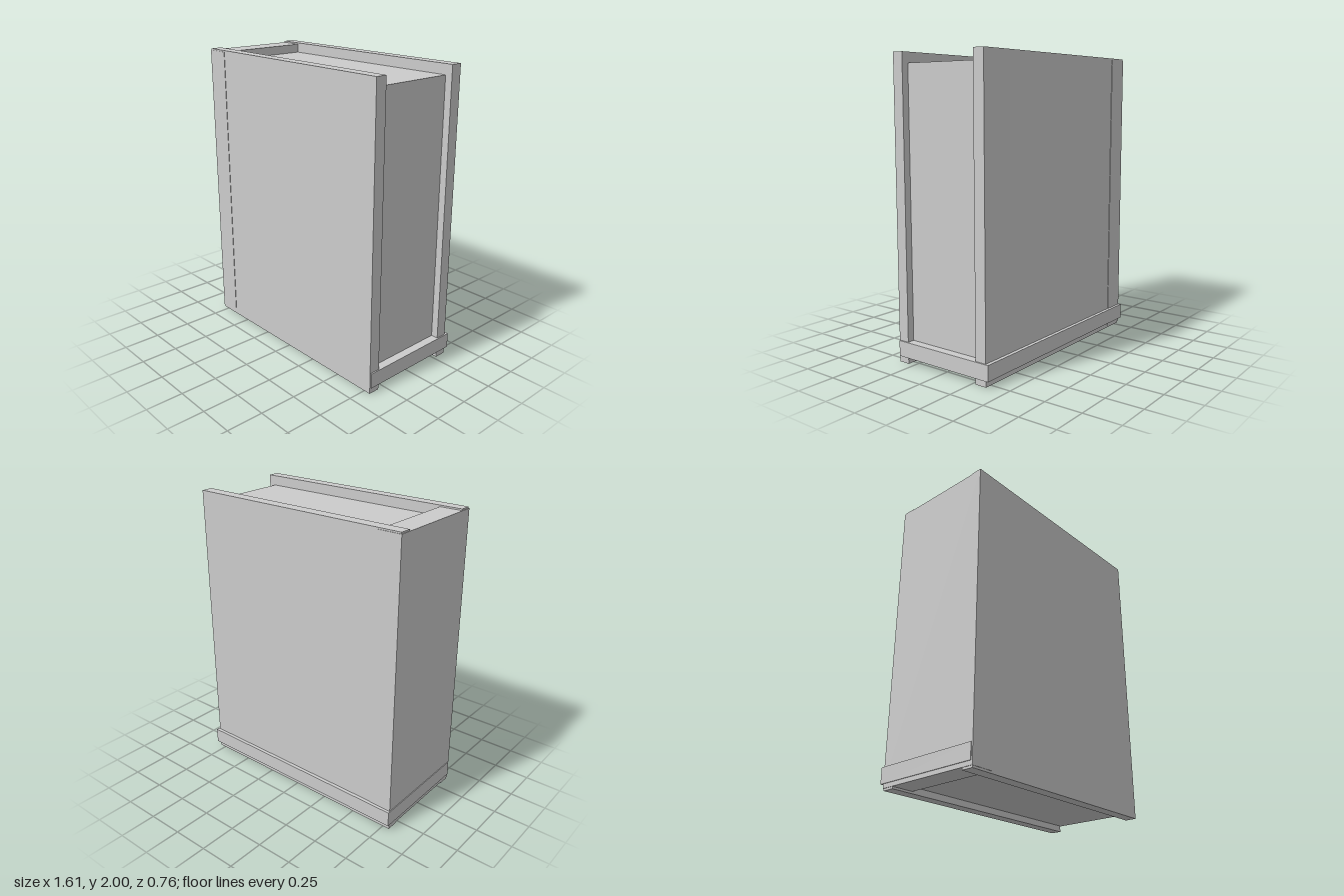
import * as THREE from 'three';

export function createModel() {
  const model = new THREE.Group();
  model.name = 'book';
  const grey = new THREE.MeshStandardMaterial({ color: 0xcccccc });
  grey.name = 'plain grey';

  // Box given by its minimum and maximum along each axis
  const addBox = (name, [x0, x1], [y0, y1], [z0, z1]) => {
    const mesh = new THREE.Mesh(new THREE.BoxGeometry(x1 - x0, y1 - y0, z1 - z0), grey);
    mesh.position.set((x0 + x1) / 2, (y0 + y1) / 2, (z0 + z1) / 2);
    mesh.name = name;
    model.add(mesh);
  };

  // Boards on both faces
  addBox('frontCover', [-0.798, 0.798], [0, 2], [0.297, 0.375]);
  addBox('backCover', [-0.798, 0.798], [0, 2], [-0.354, -0.275]);

  // Spine, slightly proud of the boards and a little shorter
  addBox('spine', [-0.802, -0.643], [0.014, 1.99], [-0.358, 0.378]);

  // Recessed page block
  addBox('pages', [-0.65, 0.749], [0.06, 1.932], [-0.28, 0.3]);

  // Band around the foot, proud at the back and both ends
  addBox('footBand', [-0.807, 0.807], [0.042, 0.146], [-0.378, 0.369]);

  return model;
}
